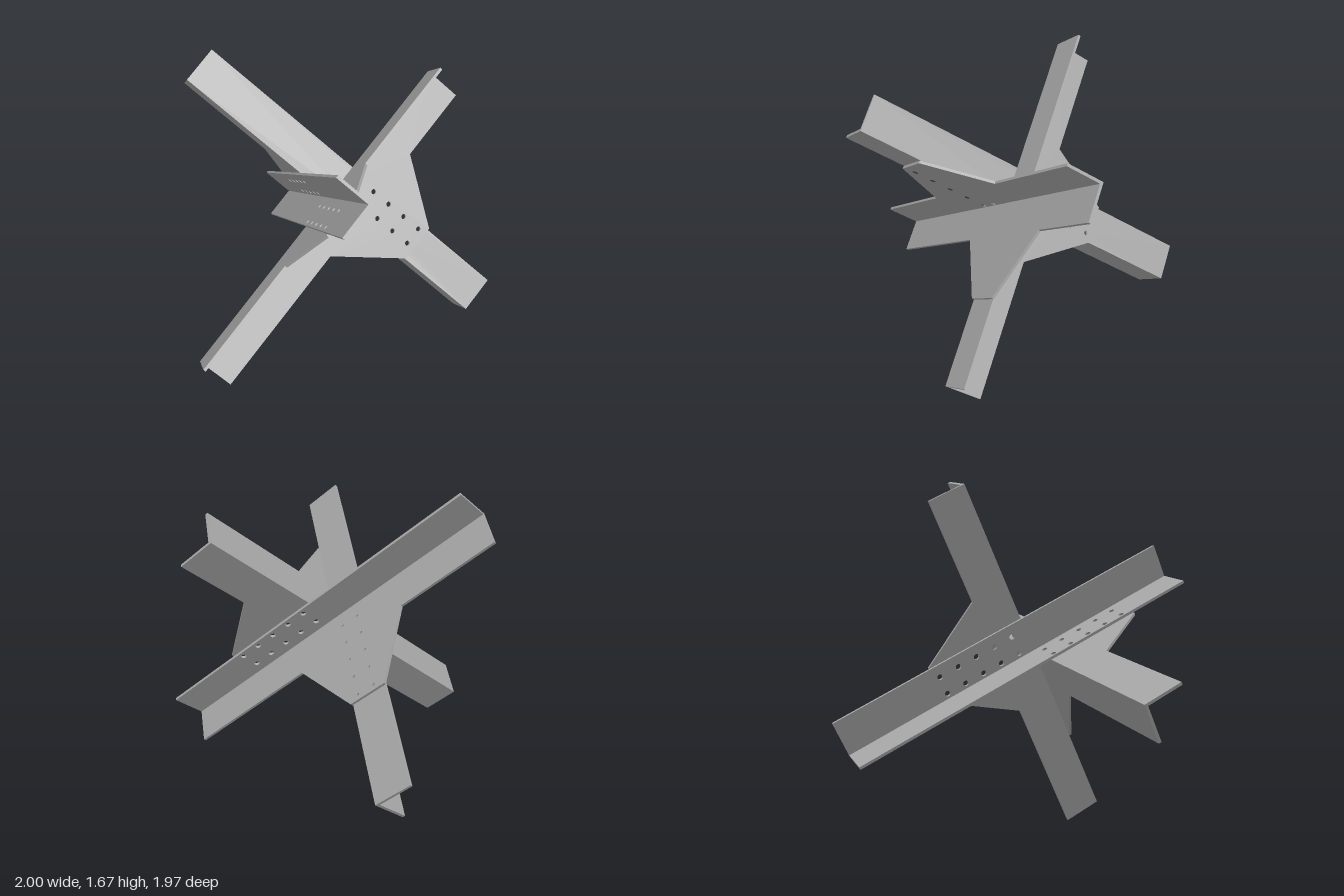
import * as THREE from 'three';

export function createModel() {
  const group = new THREE.Group();
  group.name = 'antiVehicleObstacle';
  const steel = new THREE.MeshStandardMaterial({ color: 0xa6a6a6 });
  steel.name = 'grey steel';

  // Three mutually perpendicular beam axes meeting at one point
  const c = 0.789, s = 0.614, h = Math.SQRT1_2;
  const A = new THREE.Vector3(-c, s, 0);
  const B = new THREE.Vector3(s * h, c * h, -h);
  const C = new THREE.Vector3(s * h, c * h, h);
  const centre = new THREE.Vector3(-0.018, 0.855, -0.078);

  const W = 0.235, T = 0.017;          // flange width and thickness
  const aLow = -1.163, aTop = 1.117;   // extent of the first beam
  const low = -1.275, top = 1.01;      // extent of the other two beams

  // Flat plate in the plane of axes u and v, lying from w to w + T along n
  function plate(name, points, holes, u, v, n, w) {
    const shape = new THREE.Shape(points.map(p => new THREE.Vector2(p[0], p[1])));
    for (const [x, y] of holes) {
      const hole = new THREE.Path();
      hole.absarc(x, y, 0.017, 0, Math.PI * 2, true);
      shape.holes.push(hole);
    }
    const geo = new THREE.ExtrudeGeometry(shape, { depth: T, bevelEnabled: false, curveSegments: 10 });
    geo.translate(0, 0, w);
    geo.applyMatrix4(new THREE.Matrix4().makeBasis(u, v, n).setPosition(centre));
    const mesh = new THREE.Mesh(geo, steel);
    mesh.name = name;
    group.add(mesh);
  }

  const rect = (x0, x1, y0, y1) => [[x0, y0], [x1, y0], [x1, y1], [x0, y1]];

  // Two rows of five bolt holes
  function boltHoles(rows, start, step, swap) {
    const list = [];
    for (const r of rows) {
      for (let i = 0; i < 5; i++) {
        const d = start + step * i;
        list.push(swap ? [d, r] : [r, d]);
      }
    }
    return list;
  }

  // Joint between first and second beam
  const holes1 = boltHoles([0.085, 0.2], -0.075, -0.126, false);
  plate('secondBeamFlangeWithGusset', [
    [low, 0], [top, 0], [top, -W], [0.53, -W], [0.245, -0.632], [0.005, -0.632], [-0.285, -W], [low, -W],
  ], holes1, B, A, C, 0);
  plate('firstBeamUpperFlange', rect(0, W, aLow, aTop), holes1, B, A, C, -T);

  // Joint between first and third beam
  const holes2 = boltHoles([0.048, 0.163], -0.101, -0.126, false);
  plate('firstBeamLowerFlangeWithGusset', [
    [aLow, 0], [aTop, 0], [aTop, -W], [0.47, -W], [0.24, -0.64], [-0.005, -0.64], [-0.3, -W], [aLow, -W],
  ], holes2, A, C, B, 0);
  plate('thirdBeamUpperFlange', rect(0, W, low, top), holes2, A, C, B, -T);

  // Joint between second and third beam
  const holes3 = boltHoles([-0.086, -0.205], 0.038, 0.126, true);
  plate('secondBeamUpperFlangeWithGusset', [
    [0, low], [0, top], [W, top], [W, 0.265], [0.612, -0.008], [0.612, -0.245], [W, -0.51], [W, low],
  ], holes3, C, B, A, -T);
  plate('thirdBeamLowerFlange', rect(low, top, -W, 0), holes3, C, B, A, 0);

  return group;
}
